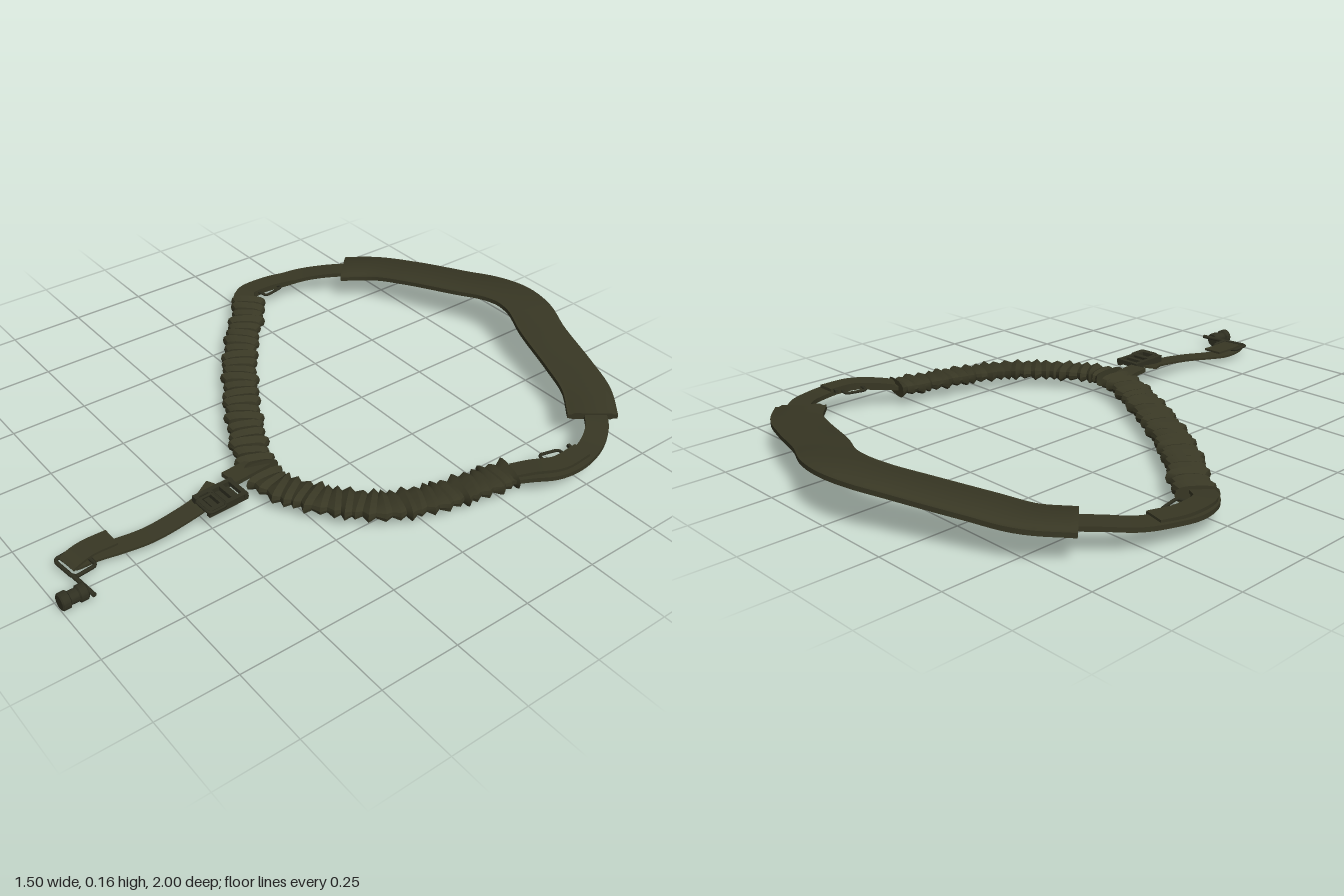
import * as THREE from 'three';
import { toCreasedNormals } from 'three/addons/utils/BufferGeometryUtils.js';

const V = (p) => new THREE.Vector3(...p);
const path = (pts) => new THREE.CatmullRomCurve3(pts.map(V), false, 'centripetal');

// Sweep a closed cross-section along a path; section(t, i) gives [sideways, up, along] points
function sweep(curve, n, section, crease = 0.6) {
  const pos = [], idx = [], up = new THREE.Vector3(0, 1, 0);
  let m = 0;
  for (let i = 0; i <= n; i++) {
    const t = i / n, c = curve.getPointAt(t), T = curve.getTangentAt(t);
    const S = up.clone().cross(T).normalize(), N = T.clone().cross(S);
    const ring = section(t, i);
    m = ring.length;
    for (const [u, v, w = 0] of ring) {
      const p = c.clone().addScaledVector(S, u).addScaledVector(N, v).addScaledVector(T, w);
      pos.push(p.x, p.y, p.z);
    }
  }
  for (let i = 0; i < n; i++) for (let j = 0; j < m; j++) {
    const a = i * m + j, b = i * m + (j + 1) % m;
    idx.push(a, b, a + m, b, b + m, a + m);
  }
  for (let j = 1; j < m - 1; j++) {
    idx.push(0, j + 1, j, n * m, n * m + j, n * m + j + 1);
  }
  const g = new THREE.BufferGeometry();
  g.setAttribute('position', new THREE.Float32BufferAttribute(pos, 3));
  g.setIndex(idx);
  return toCreasedNormals(g, crease);
}

const flat = (w, h) => () => [[-w / 2, -h / 2], [w / 2, -h / 2], [w / 2, h / 2], [-w / 2, h / 2]];

// Padded section with a thinner sewn rim
const padded = (w, h) => () => {
  const a = w / 2, b = a - 0.012, c = h / 2, r = c * 0.6;
  return [[-a, -r], [-b, -r], [-b + 0.008, -c], [b - 0.008, -c], [b, -r], [a, -r],
    [a, r], [b, r], [b - 0.008, c], [-b + 0.008, c], [-b, r], [-a, r]];
};

// Gathered elastic sleeve: alternating ridges and valleys, slightly uneven
const gathered = (phase) => (t, i) => {
  const k = Math.floor(i / 2), ridge = i % 2 === 0;
  const vary = Math.sin(k * 2.4 + phase);
  const w = ridge ? 0.06 + 0.005 * vary : 0.046 + 0.003 * vary;
  const h = ridge ? 0.026 + 0.002 * vary : 0.017;
  const skew = 0.16 * Math.sin(k * 1.3 + phase);
  return Array.from({ length: 14 }, (_, j) => {
    const a = j / 14 * Math.PI * 2, c = Math.cos(a), s = Math.sin(a);
    const u = w * Math.sign(c) * Math.abs(c) ** 0.7;
    return [u, h * Math.sign(s) * Math.abs(s) ** 0.7, u * skew];
  });
};

export function createModel() {
  const group = new THREE.Group();
  const webbing = new THREE.MeshStandardMaterial({ color: 0x383724 });
  webbing.name = 'olive webbing';
  const hardware = new THREE.MeshStandardMaterial({ color: 0x303021 });
  hardware.name = 'dark olive hardware';

  const add = (name, geo, mat = webbing, parent = group) => {
    const mesh = new THREE.Mesh(geo, mat);
    mesh.name = name;
    parent.add(mesh);
    return mesh;
  };
  const bar = (name, size, at, turn = 0, mat = hardware) => {
    const mesh = add(name, new THREE.BoxGeometry(...size), mat);
    mesh.position.set(...at);
    mesh.rotation.y = turn;
    return mesh;
  };
  // Rectangular wire loop lying flat
  const wireLoop = (name, w, d, at, turn, r = 0.005) => {
    const loop = new THREE.Group();
    loop.name = name;
    const corners = [[-w, -d], [w, -d], [w, d], [-w, d]].map(([x, z]) => new THREE.Vector3(x / 2, 0, z / 2));
    const curve = new THREE.CurvePath();
    corners.forEach((c, i) => {
      const prev = corners[(i + 3) % 4], next = corners[(i + 1) % 4];
      const p = c.clone().lerp(prev, 0.2), q = c.clone().lerp(next, 0.2);
      curve.add(new THREE.QuadraticBezierCurve3(p, c, q));
      curve.add(new THREE.LineCurve3(q, next.clone().lerp(c, 0.2)));
    });
    add('wire', new THREE.TubeGeometry(curve, 48, r, 6, true), hardware, loop);
    loop.position.set(...at);
    loop.rotation.y = turn;
    group.add(loop);
    return loop;
  };

  // Shoulder pad
  const padPath = path([[-0.588, 0.09, -0.637], [-0.5, 0.1, -0.725], [-0.38, 0.115, -0.785], [-0.2, 0.132, -0.86],
    [-0.09, 0.143, -0.905], [0, 0.147, -0.921], [0.09, 0.143, -0.908], [0.2, 0.13, -0.86],
    [0.38, 0.11, -0.8], [0.5, 0.098, -0.752], [0.6, 0.088, -0.675]]);
  add('shoulderPad', sweep(padPath, 64, padded(0.155, 0.024)));

  // Side straps
  add('rightStrap', sweep(path([[-0.55, 0.09, -0.68], [-0.62, 0.082, -0.59], [-0.672, 0.07, -0.51],
    [-0.695, 0.062, -0.43], [-0.711, 0.058, -0.34], [-0.69, 0.058, -0.265], [-0.62, 0.058, -0.215]]), 40, flat(0.072, 0.014)));
  add('leftStrap', sweep(path([[0.57, 0.088, -0.71], [0.645, 0.084, -0.645], [0.69, 0.077, -0.57],
    [0.713, 0.074, -0.48], [0.705, 0.072, -0.4], [0.665, 0.066, -0.34], [0.62, 0.058, -0.27]]), 40, flat(0.07, 0.014)));
  // Folded strap ends sewn back beside the sliders
  add('rightStrapFold', sweep(path([[-0.678, 0.074, -0.46], [-0.7, 0.071, -0.37], [-0.69, 0.071, -0.27],
    [-0.64, 0.068, -0.235]]), 20, flat(0.066, 0.01)));
  add('leftStrapFold', sweep(path([[0.7, 0.089, -0.52], [0.7, 0.086, -0.42], [0.66, 0.08, -0.35],
    [0.63, 0.07, -0.3]]), 20, flat(0.06, 0.01)));
  wireLoop('rightSlider', 0.05, 0.08, [-0.665, 0.066, -0.355], 0.2);
  wireLoop('leftSlider', 0.06, 0.07, [0.665, 0.075, -0.44], -0.25);
  bar('leftSliderBar', [0.075, 0.01, 0.01], [0.692, 0.086, -0.5], -0.2);

  // Gathered elastic sleeves
  add('rightElasticSleeve', sweep(path([[-0.645, 0.058, -0.25], [-0.56, 0.056, -0.185], [-0.45, 0.055, -0.085],
    [-0.33, 0.053, 0.005], [-0.16, 0.053, 0.115], [0, 0.054, 0.205], [0.1, 0.055, 0.255], [0.165, 0.056, 0.275]]),
    44, gathered(0.4), 0.5));
  add('leftElasticSleeve', sweep(path([[0.205, 0.055, 0.285], [0.27, 0.054, 0.275], [0.36, 0.053, 0.225],
    [0.46, 0.053, 0.145], [0.53, 0.053, 0.055], [0.57, 0.054, -0.05], [0.595, 0.055, -0.15],
    [0.622, 0.058, -0.3]]), 46, gathered(2), 0.5));

  // Junction tab and adjusting buckle
  add('junctionTab', sweep(path([[0.145, 0.06, 0.25], [0.158, 0.068, 0.32], [0.165, 0.07, 0.385]]), 8, flat(0.062, 0.014)));
  for (const x of [0.182, 0.258]) bar('buckleSide', [0.014, 0.022, 0.135], [x, 0.072, 0.45], 0.04);
  for (const z of [0.39, 0.425, 0.465, 0.51]) bar('buckleBar', [0.085, 0.014, 0.014], [0.221, 0.076, z], 0.04);
  bar('bucklePlate', [0.064, 0.008, 0.09], [0.221, 0.064, 0.445], 0.04);
  wireLoop('buckleLoop', 0.07, 0.06, [0.235, 0.08, 0.49], 0.04);

  // Tail strap with its doubled end
  add('tailStrap', sweep(path([[0.16, 0.066, 0.425], [0.19, 0.056, 0.49], [0.2, 0.045, 0.58], [0.198, 0.033, 0.68],
    [0.18, 0.025, 0.76], [0.162, 0.021, 0.83], [0.165, 0.026, 0.9], [0.168, 0.034, 0.915]]), 40, flat(0.064, 0.007)));
  add('tailStrapFold', sweep(path([[0.158, 0.046, 0.77], [0.158, 0.046, 0.85], [0.168, 0.042, 0.9],
    [0.17, 0.034, 0.918]]), 16, flat(0.068, 0.007)));

  // Swivel: wire frame, crossbar, barrel and plunger
  wireLoop('swivelFrame', 0.095, 0.075, [0.178, 0.036, 0.895], 0.12, 0.006);
  const crossbar = add('swivelCrossbar', new THREE.CylinderGeometry(0.007, 0.007, 0.1, 8), hardware);
  crossbar.rotation.z = Math.PI / 2;
  crossbar.rotation.y = 0.1;
  crossbar.position.set(0.27, 0.036, 0.92);
  const barrelProfile = [[0, -0.04], [0.021, -0.04], [0.025, -0.036], [0.025, -0.016], [0.02, -0.012], [0.02, 0.012],
    [0.026, 0.016], [0.026, 0.036], [0.022, 0.04], [0, 0.04]].map(([r, y]) => new THREE.Vector2(r, y));
  const barrel = add('swivelBarrel', toCreasedNormals(new THREE.LatheGeometry(barrelProfile, 20), 0.5), hardware);
  barrel.rotation.x = Math.PI / 2;
  barrel.position.set(0.282, 0.028, 0.96);

  return group;
}
